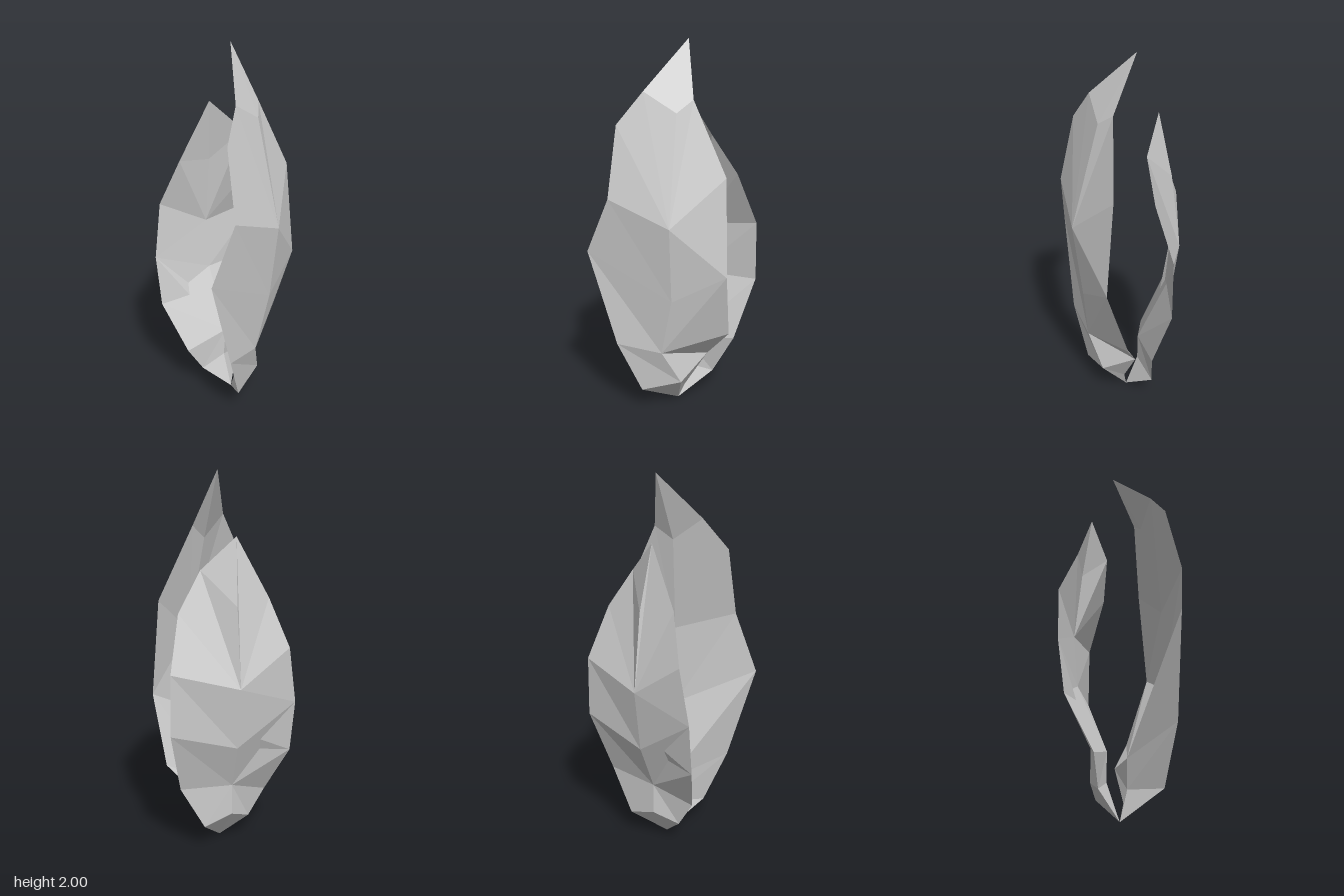
import * as THREE from 'three';

// Zips two polylines into triangles; the ladder says which side steps up next (E edge, R rib).
function strip(edge, rib, ladder, flip) {
  const out = [];
  let i = 0, j = 0;
  for (const step of ladder) {
    const next = step === 'E' ? edge[i + 1] : rib[j + 1];
    const tri = [edge[i], rib[j], next];
    if (flip) tri.reverse();
    out.push(...tri.flat());
    if (step === 'E') i++; else j++;
  }
  return out;
}

function leafMesh(name, strips) {
  const geo = new THREE.BufferGeometry();
  geo.setAttribute('position', new THREE.Float32BufferAttribute(strips.flat(), 3));
  geo.computeVertexNormals();
  const mesh = new THREE.Mesh(geo, new THREE.MeshStandardMaterial({
    color: 0xcccccc, flatShading: true, side: THREE.DoubleSide,
  }));
  mesh.name = name;
  return mesh;
}

export function createModel() {
  const group = new THREE.Group();
  group.name = 'leafPair';
  const base = [0, 0, -0.015];

  // Tall front leaf: two edges joined by an outer and an inner folded midrib
  const tip = [0.035, 2, -0.06];
  const frontRib = [[0.08, 0.185, 0.125], [0, 0.38, 0.2], [0.07, 0.7, 0.225], [0.08, 1.11, 0.272], [0.055, 1.66, 0.13]];
  const frontInner = [[0.02, 0.16, 0.02], [0, 0.31, 0.02], [0.07, 0.7, 0.2], [0.075, 1.14, 0.205], [0.03, 1.65, 0.1]];
  const frontRight = [base, [-0.12, 0.13, 0.2], [-0.23, 0.42, 0.27], [-0.373, 0.94, 0.302],
    [-0.237, 1.24, 0.315], [-0.222, 1.6, 0.237], [-0.11, 1.76, 0.16], tip];
  const frontLeft = [base, [0.045, 0.1, 0], [0.16, 0.3, -0.05], [0.305, 0.47, 0.005],
    [0.33, 0.84, 0.117], [0.302, 1.35, 0.078], [0.115, 1.72, 0.06], tip];
  group.add(leafMesh('frontLeaf', [
    strip(frontRight, frontRib, 'EEREREREERE', false),
    strip(frontLeft, frontRib, 'EEREERREERE', true),
    strip(frontRight, frontInner, 'EEREREREERE', true),
    strip(frontLeft, frontInner, 'EEREERREERE', false),
  ]));

  // Shorter back leaf, built the same way and facing the other
  const backTip = [-0.01, 1.685, -0.175];
  const backRib = [[0, 0.19, -0.16], [0, 0.36, -0.16], [0.02, 0.61, -0.255], [0.025, 0.94, -0.297], [0.02, 1.35, -0.245]];
  const backInner = [[0, 0.19, -0.08], [0.015, 0.35, -0.08], [0.02, 0.7, -0.235], [0.02, 0.98, -0.26], [0.02, 1.35, -0.225]];
  const backLeft = [base, [0.155, 0.14, -0.145], [0.285, 0.38, -0.125], [0.373, 0.72, -0.21],
    [0.368, 1.04, -0.21], [0.285, 1.32, -0.125], [0.15, 1.52, -0.098], backTip];
  const backRight = [base, [-0.13, 0.13, -0.11], [-0.22, 0.28, -0.125], [-0.29, 0.55, -0.265],
    [-0.293, 0.83, -0.303], [-0.243, 1.13, -0.316], [-0.165, 1.38, -0.232], backTip];
  group.add(leafMesh('backLeaf', [
    strip(backLeft, backRib, 'EREEREREERE', false),
    strip(backRight, backRib, 'EREEERREEER', true),
    strip(backLeft, backInner, 'EREEREREERE', true),
    strip(backRight, backInner, 'EREEREREERE', false),
  ]));
  return group;
}
